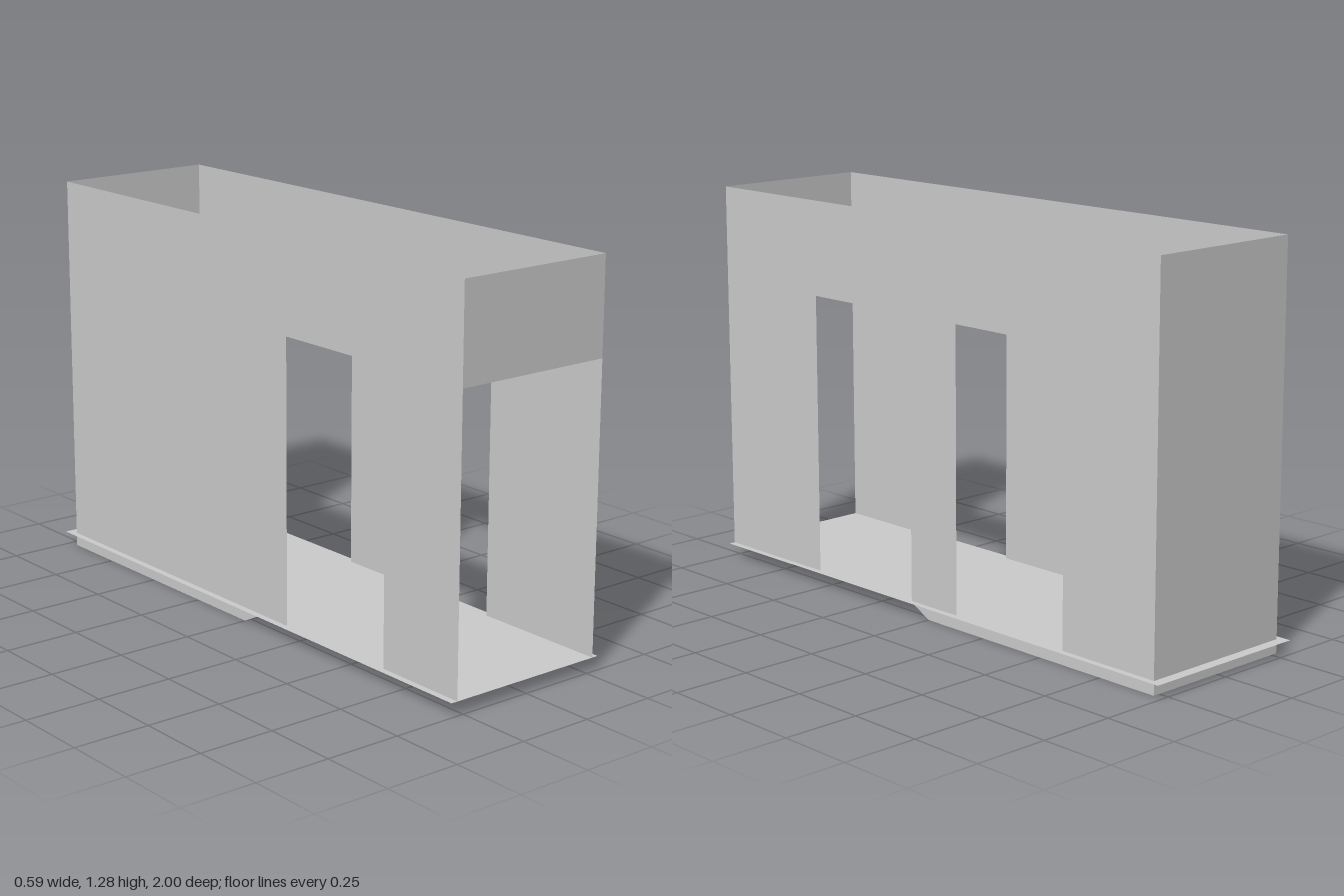
import * as THREE from 'three';

const HALF_W = 0.273, FRONT = 1, BACK = -0.965;
const FLOOR_Y = 0.045, TOP = 1.28, DOOR_TOP = 0.97;

export function createModel() {
  const model = new THREE.Group();
  const material = new THREE.MeshStandardMaterial({ color: 0xcccccc, side: THREE.DoubleSide });

  const add = (name, geometry, x, y, z) => {
    const mesh = new THREE.Mesh(geometry, material);
    mesh.name = name;
    mesh.position.set(x, y, z);
    model.add(mesh);
  };

  // Thin upright panel in the z-y plane, outlined by [z, y] points
  const sidePanel = (name, points, x) => {
    const shape = new THREE.Shape(points.map(([z, y]) => new THREE.Vector2(z, y)));
    add(name, new THREE.ShapeGeometry(shape).rotateY(-Math.PI / 2), x, 0, 0);
  };

  // Side wall with doorways cut up from the floor, given as [zStart, zEnd]
  const sideWall = (name, x, doors) => {
    const points = [[BACK, FLOOR_Y]];
    for (const [a, b] of doors) {
      points.push([a, FLOOR_Y], [a, DOOR_TOP], [b, DOOR_TOP], [b, FLOOR_Y]);
    }
    points.push([FRONT, FLOOR_Y], [FRONT, TOP], [BACK, TOP]);
    sidePanel(name, points, x);
  };

  sideWall('leftWall', HALF_W, [[-0.595, -0.13], [0.08, 0.535]]);
  sideWall('rightWall', -HALF_W, [[0.215, 0.675]]);

  // Skirts below the floor, tapering off towards the front
  for (const [name, side] of [['leftSkirt', 1], ['rightSkirt', -1]]) {
    sidePanel(name, [[BACK, 0], [0, 0], [0.08, 0.04], [0.1, FLOOR_Y], [BACK, FLOOR_Y]], side * HALF_W);
  }

  // Back wall reaching down to the ground, and the lintel over the open front
  add('backWall', new THREE.PlaneGeometry(2 * HALF_W, TOP).rotateY(Math.PI), 0, TOP / 2, BACK);
  add('frontLintel', new THREE.PlaneGeometry(2 * HALF_W, TOP - DOOR_TOP), 0, (TOP + DOOR_TOP) / 2, FRONT);

  // Floor sheet, slightly wider than the walls
  add('floor', new THREE.PlaneGeometry(0.59, 2).rotateX(-Math.PI / 2), 0, FLOOR_Y, 0);

  return model;
}
